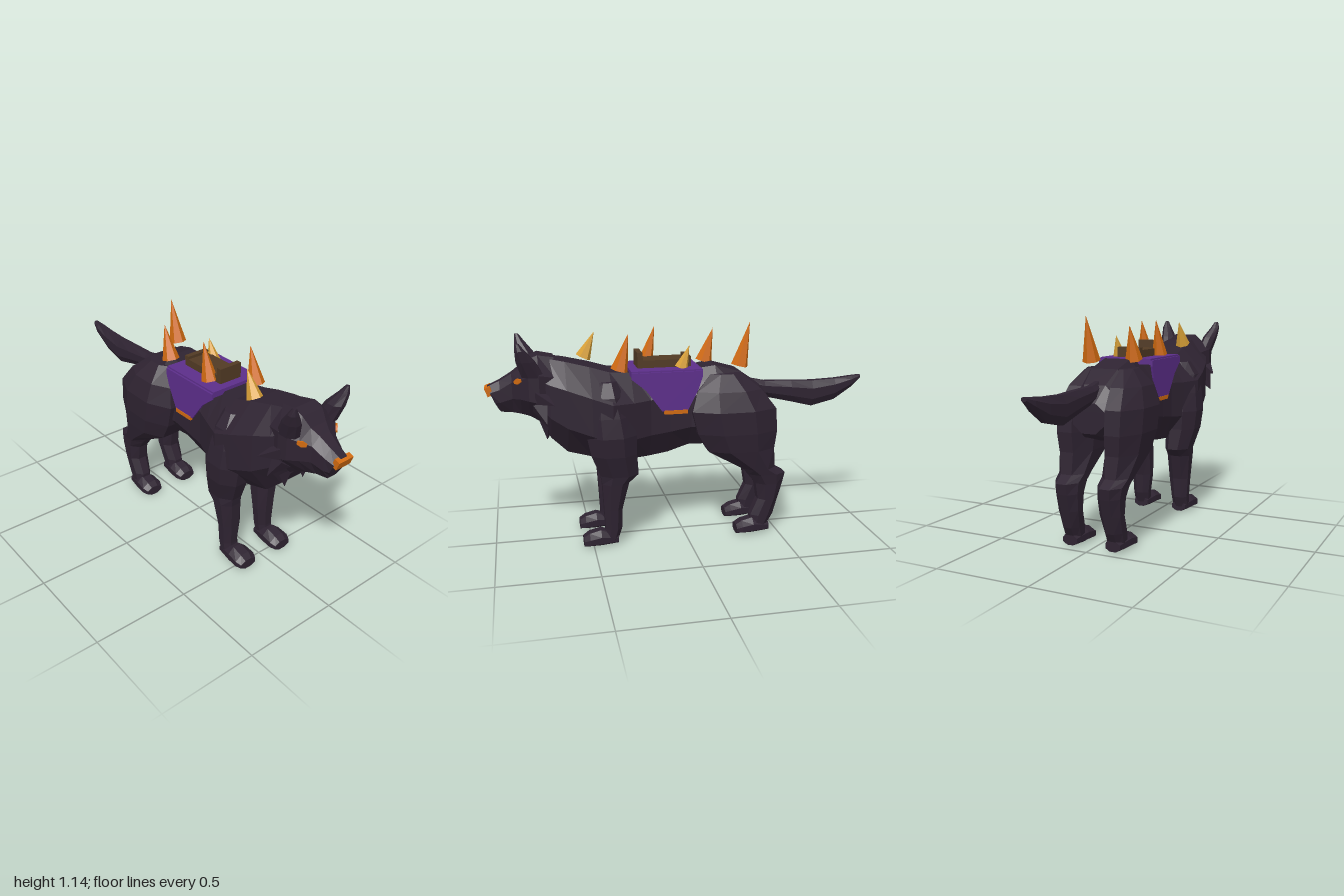
import * as THREE from 'three';

const mat = (name, color) => {
  const m = new THREE.MeshStandardMaterial({ color, flatShading: true });
  m.name = name;
  return m;
};

// Loft of eight-sided rings. Each section: [position, top, mid, bottom, halfWidth, centreX, shear]
function loft(sections) {
  const n = 8, pos = [], idx = [];
  const k = 1 / Math.cos(Math.PI / n);
  for (const [p, top, mid, bot, w, cx = 0, shear = 0] of sections) {
    for (let i = 0; i < n; i++) {
      const a = ((i + 0.5) / n) * Math.PI * 2;
      const s = Math.sin(a) * k;
      const y = mid + s * (s > 0 ? top - mid : mid - bot);
      pos.push(cx + Math.cos(a) * k * w, y, p + shear * (y - top));
    }
  }
  const last = sections.length - 1;
  for (let s = 0; s < last; s++) {
    for (let i = 0; i < n; i++) {
      const j = (i + 1) % n;
      const a = s * n + i, b = s * n + j, c = b + n, d = a + n;
      idx.push(a, d, b, b, d, c);
    }
  }
  for (let i = 1; i < n - 1; i++) {
    idx.push(0, i, i + 1);
    idx.push(last * n, last * n + i + 1, last * n + i);
  }
  const g = new THREE.BufferGeometry();
  g.setAttribute('position', new THREE.Float32BufferAttribute(pos, 3));
  g.setIndex(idx);
  g.computeVertexNormals();
  return g;
}

// Vertical loft, from top to bottom. Each section: [y, zFront, zBack, xInner, xOuter]
function limb(sections, side) {
  const rows = sections.map(([y, zf, zb, xi, xo]) =>
    [y, -zb, -(zf + zb) / 2, -zf, (xo - xi) / 2, side * (xi + xo) / 2]);
  return loft(rows).rotateX(-Math.PI / 2);
}

export function createModel() {
  const root = new THREE.Group();
  root.name = 'saddledWolf';
  const fur = mat('dark fur', 0x2e2331);
  const purple = mat('purple cloth', 0x5c2e8a);
  const brown = mat('brown leather', 0x513a24);
  const orange = mat('orange', 0xd06a10);
  const gold = mat('gold', 0xd8a036);

  const add = (name, geometry, material, x = 0, y = 0, z = 0) => {
    const m = new THREE.Mesh(geometry, material);
    m.name = name;
    m.position.set(x, y, z);
    root.add(m);
    return m;
  };
  const box = (w, h, d) => new THREE.BoxGeometry(w, h, d);

  // Cone running from one point to another
  const cone = (name, from, to, r, sides, material) => {
    const a = new THREE.Vector3(...from), b = new THREE.Vector3(...to);
    const dir = b.clone().sub(a);
    const m = add(name, new THREE.ConeGeometry(r, dir.length(), sides), material);
    m.position.copy(a).add(b).multiplyScalar(0.5);
    m.quaternion.setFromUnitVectors(new THREE.Vector3(0, 1, 0), dir.normalize());
    return m;
  };

  // Torso with neck, chest, waist and rump
  add('torso', loft([
    [0.74, 0.98, 0.83, 0.66, 0.13],
    [0.69, 0.985, 0.79, 0.58, 0.155],
    [0.61, 0.97, 0.76, 0.505, 0.185],
    [0.49, 0.94, 0.71, 0.475, 0.212],
    [0.39, 0.91, 0.67, 0.45, 0.222],
    [0.28, 0.90, 0.67, 0.445, 0.18],
    [0.19, 0.895, 0.68, 0.45, 0.148],
    [0.09, 0.895, 0.69, 0.465, 0.143],
    [-0.02, 0.90, 0.70, 0.50, 0.146],
    [-0.16, 0.92, 0.70, 0.50, 0.175],
    [-0.30, 0.88, 0.70, 0.52, 0.175],
    [-0.40, 0.81, 0.68, 0.55, 0.14],
    [-0.465, 0.73, 0.66, 0.58, 0.09],
  ]), fur);

  // Head and tapering muzzle
  add('head', loft([
    [0.99, 0.85, 0.80, 0.735, 0.048, 0, 0.42],
    [0.93, 0.877, 0.81, 0.72, 0.058],
    [0.87, 0.912, 0.85, 0.715, 0.075],
    [0.83, 0.94, 0.86, 0.71, 0.115],
    [0.79, 0.985, 0.86, 0.70, 0.15],
    [0.74, 1.005, 0.86, 0.67, 0.155],
    [0.66, 0.99, 0.84, 0.68, 0.13],
  ]), fur);
  add('nose', box(0.09, 0.045, 0.03), orange, 0, 0.828, 0.983).rotation.x = 0.35;

  // Tail
  add('tail', loft([
    [-0.36, 0.83, 0.79, 0.75, 0.03],
    [-0.45, 0.81, 0.77, 0.725, 0.034],
    [-0.60, 0.805, 0.75, 0.69, 0.037],
    [-0.72, 0.80, 0.73, 0.66, 0.037],
    [-0.85, 0.805, 0.755, 0.69, 0.034],
    [-0.95, 0.815, 0.79, 0.755, 0.028],
    [-1.00, 0.82, 0.81, 0.80, 0.014],
  ]), fur);

  const flap = new THREE.Shape([
    [0.288, 0.91], [0.288, 0.88], [0.215, 0.82], [0.135, 0.71],
    [0, 0.71], [-0.055, 0.82], [-0.075, 0.88], [-0.075, 0.91],
  ].map(p => new THREE.Vector2(...p)));

  for (const s of [1, -1]) {
    const label = s > 0 ? 'left' : 'right';

    add(label + 'Ear', limb([
      [1.08, 0.845, 0.825, 0.155, 0.172],
      [1.045, 0.848, 0.80, 0.135, 0.182],
      [0.99, 0.845, 0.755, 0.10, 0.175],
      [0.91, 0.82, 0.71, 0.08, 0.155],
    ], s), fur);

    const eye = add(label + 'Eye', new THREE.CylinderGeometry(0.026, 0.026, 0.009, 6)
      .rotateX(Math.PI / 2).scale(1, 0.55, 1), orange, s * 0.109, 0.888, 0.841);
    eye.rotation.set(0, s * Math.PI / 4, s * 0.3);

    // Fur tufts on the cheek and under the neck
    cone(label + 'CheekTuft', [s * 0.13, 0.81, 0.74], [s * 0.21, 0.78, 0.67], 0.045, 4, fur);
    cone(label + 'JawTuft', [s * 0.12, 0.76, 0.74], [s * 0.18, 0.68, 0.71], 0.05, 4, fur);
    cone(label + 'NeckTuft', [s * 0.06, 0.68, 0.70], [s * 0.06, 0.57, 0.71], 0.05, 4, fur);

    add(label + 'FrontLeg', limb([
      [0.87, 0.46, 0.36, 0.06, 0.16],
      [0.80, 0.50, 0.33, 0.05, 0.205],
      [0.70, 0.52, 0.29, 0.05, 0.222],
      [0.60, 0.52, 0.27, 0.05, 0.234],
      [0.50, 0.50, 0.27, 0.055, 0.225],
      [0.385, 0.455, 0.26, 0.057, 0.195],
      [0.34, 0.447, 0.31, 0.058, 0.19],
      [0.20, 0.44, 0.345, 0.062, 0.175],
      [0.09, 0.435, 0.35, 0.075, 0.168],
      [0.03, 0.44, 0.37, 0.08, 0.165],
    ], s), fur);

    add(label + 'HindLeg', limb([
      [0.88, -0.13, -0.29, 0.03, 0.13],
      [0.80, -0.05, -0.39, 0.03, 0.20],
      [0.70, -0.02, -0.465, 0.03, 0.232],
      [0.58, -0.05, -0.475, 0.03, 0.23],
      [0.48, -0.11, -0.465, 0.035, 0.215],
      [0.37, -0.30, -0.475, 0.05, 0.192],
      [0.335, -0.33, -0.535, 0.053, 0.185],
      [0.28, -0.375, -0.525, 0.055, 0.178],
      [0.19, -0.39, -0.50, 0.06, 0.172],
      [0.10, -0.35, -0.475, 0.07, 0.168],
      [0.02, -0.35, -0.43, 0.075, 0.165],
    ], s), fur);

    // Paws
    for (const [name, z] of [['FrontPaw', 0.55], ['HindPaw', -0.27]]) {
      add(label + name, loft([
        [0, 0.05, 0.025, 0, 0.048, s * 0.12],
        [-0.03, 0.07, 0.03, 0, 0.06, s * 0.12],
        [-0.09, 0.085, 0.035, 0, 0.057, s * 0.12],
        [-0.18, 0.06, 0.03, 0.005, 0.04, s * 0.12],
      ]), fur, 0, 0, z);
    }

    // Saddle cloth flap with hem
    add(label + 'SaddleFlap', new THREE.ExtrudeGeometry(flap, { depth: 0.01, bevelEnabled: false })
      .rotateY(-Math.PI / 2), purple, s * 0.15 + 0.005, 0, 0);
    add(label + 'FlapHem', box(0.016, 0.02, 0.12), orange, s * 0.15, 0.703, 0.063);
  }

  // Saddle
  add('saddleCloth', box(0.29, 0.03, 0.365), purple, 0, 0.903, 0.105);
  add('saddleSeat', box(0.13, 0.045, 0.265), brown, 0, 0.934, 0.1);
  add('saddleFront', box(0.13, 0.085, 0.028), brown, 0, 0.954, 0.23);
  add('saddleBack', box(0.13, 0.06, 0.028), brown, 0, 0.941, -0.02);

  // Back spikes: x, base y, base z, tip y, tip z, radius, material
  for (const [x, y, z, ty, tz, r, m] of [
    [-0.08, 0.96, 0.505, 1.09, 0.445, 0.04, gold],
    [0.08, 0.915, 0.34, 1.10, 0.29, 0.045, orange],
    [-0.08, 0.92, 0.18, 1.11, 0.13, 0.042, orange],
    [0.08, 0.915, 0.02, 1.03, -0.022, 0.036, gold],
    [-0.08, 0.915, -0.135, 1.09, -0.185, 0.045, orange],
    [0.08, 0.915, -0.287, 1.14, -0.34, 0.045, orange],
  ]) cone('backSpike', [x, y, z], [x, ty, tz], r, 6, m);

  return root;
}
